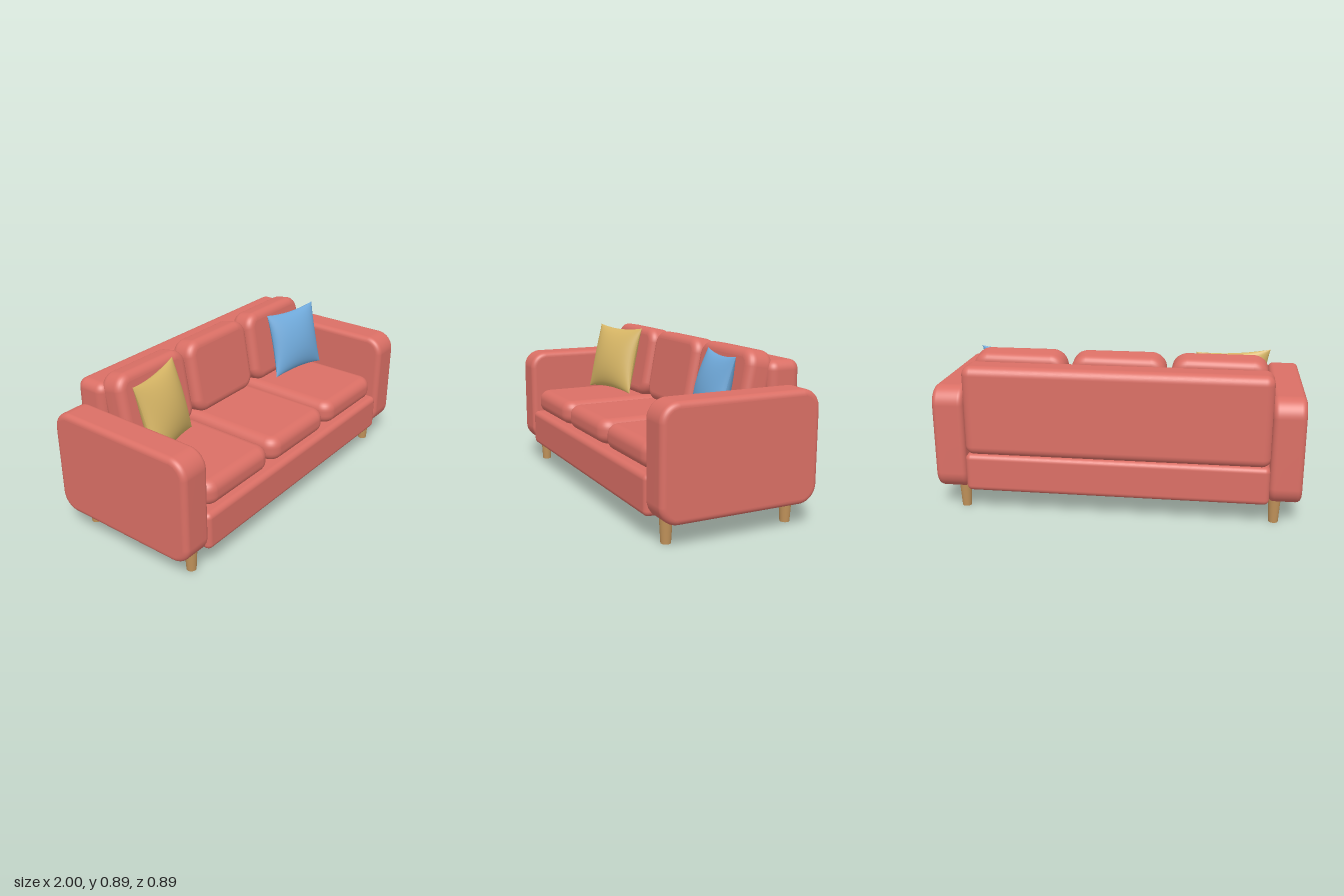
import * as THREE from 'three';
import { mergeVertices, mergeGeometries } from 'three/addons/utils/BufferGeometryUtils.js';
import { RoundedBoxGeometry } from 'three/addons/geometries/RoundedBoxGeometry.js';

function material(name, color) {
  const m = new THREE.MeshStandardMaterial({ color });
  m.name = name;
  return m;
}

// Padded slab: rounded rectangle (corner radius R) with a soft edge of radius b, thickness along z
function paddedSlab(w, h, d, R, b) {
  const x = w / 2 - R, y = h / 2 - R, r = R - b, q = Math.PI / 2;
  const shape = new THREE.Shape();
  shape.absarc(x, y, r, 0, q);
  shape.absarc(-x, y, r, q, 2 * q);
  shape.absarc(-x, -y, r, 2 * q, 3 * q);
  shape.absarc(x, -y, r, 3 * q, 4 * q);
  shape.closePath();
  const depth = d - 2 * b;
  const geo = new THREE.ExtrudeGeometry(shape, {
    depth, bevelEnabled: true, bevelSize: b, bevelThickness: b, bevelSegments: 7, curveSegments: 8,
  });
  geo.translate(0, 0, -depth / 2);
  geo.deleteAttribute('uv');
  geo.deleteAttribute('normal');
  const smooth = mergeVertices(geo, 1e-4);
  smooth.computeVertexNormals();
  return smooth;
}

// Throw pillow: two bulging sheets with inward-curving edges and pointed corners
function pillowGeometry(size, halfThick) {
  const n = 24, half = size / 2, pinch = 0.09;
  const sheet = new THREE.PlaneGeometry(2, 2, n, n);
  const p = sheet.attributes.position;
  for (let i = 0; i < p.count; i++) {
    const u = Math.sin(p.getX(i) * Math.PI / 2), v = Math.sin(p.getY(i) * Math.PI / 2);
    const puff = Math.pow(Math.max(0, (1 - u * u) * (1 - v * v)), 0.55);
    p.setXYZ(i,
      half * u * (1 - pinch * (1 - v * v)),
      half * v * (1 - pinch * (1 - u * u)),
      halfThick * puff);
  }
  sheet.computeVertexNormals();
  return mergeGeometries([sheet, sheet.clone().rotateY(Math.PI)]);
}

export function createModel() {
  const sofa = new THREE.Group();
  sofa.name = 'sofa';
  const coral = material('coral fabric', 0xda6f65);
  const mustard = material('mustard fabric', 0xd6b565);
  const blue = material('blue fabric', 0x70aadb);
  const wood = material('leg wood', 0xc0925a);

  const add = (name, geo, mat, x, y, z) => {
    const mesh = new THREE.Mesh(geo, mat);
    mesh.name = name;
    mesh.position.set(x, y, z);
    sofa.add(mesh);
    return mesh;
  };

  // Frame
  add('base', new RoundedBoxGeometry(1.66, 0.213, 0.882, 6, 0.03), coral, 0, 0.2315, 0);
  add('backrest', new RoundedBoxGeometry(1.66, 0.5, 0.188, 6, 0.05), coral, 0, 0.583, -0.349);

  // Arms
  const arm = paddedSlab(0.886, 0.588, 0.174, 0.1, 0.03).rotateY(Math.PI / 2);
  add('leftArm', arm, coral, 0.913, 0.419, 0);
  add('rightArm', arm, coral, -0.913, 0.419, 0);

  // Seat and back cushions
  const seat = paddedSlab(0.52, 0.67, 0.138, 0.075, 0.055).rotateX(-Math.PI / 2);
  const back = paddedSlab(0.515, 0.42, 0.152, 0.085, 0.045);
  ['right', 'middle', 'left'].forEach((side, i) => {
    const x = (i - 1) * 0.543;
    add(side + 'SeatCushion', seat, coral, x, 0.412, 0.085);
    add(side + 'BackCushion', back, coral, x, 0.676, -0.201).rotation.x = -0.18;
  });

  // Throw pillows, leaning back and turned inward
  add('mustardPillow', pillowGeometry(0.415, 0.078), mustard, -0.6, 0.685, -0.043)
    .rotation.set(-0.255, 0.25, 0, 'YXZ');
  add('bluePillow', pillowGeometry(0.39, 0.072), blue, 0.612, 0.677, -0.049)
    .rotation.set(-0.245, -0.18, 0, 'YXZ');

  // Tapered legs
  const leg = new THREE.CylinderGeometry(0.034, 0.026, 0.14, 24);
  for (const [sx, side] of [[1, 'Left'], [-1, 'Right']]) {
    for (const [sz, end] of [[1, 'front'], [-1, 'back']]) {
      add(end + side + 'Leg', leg, wood, sx * 0.863, 0.07, sz * 0.347);
    }
  }
  return sofa;
}
